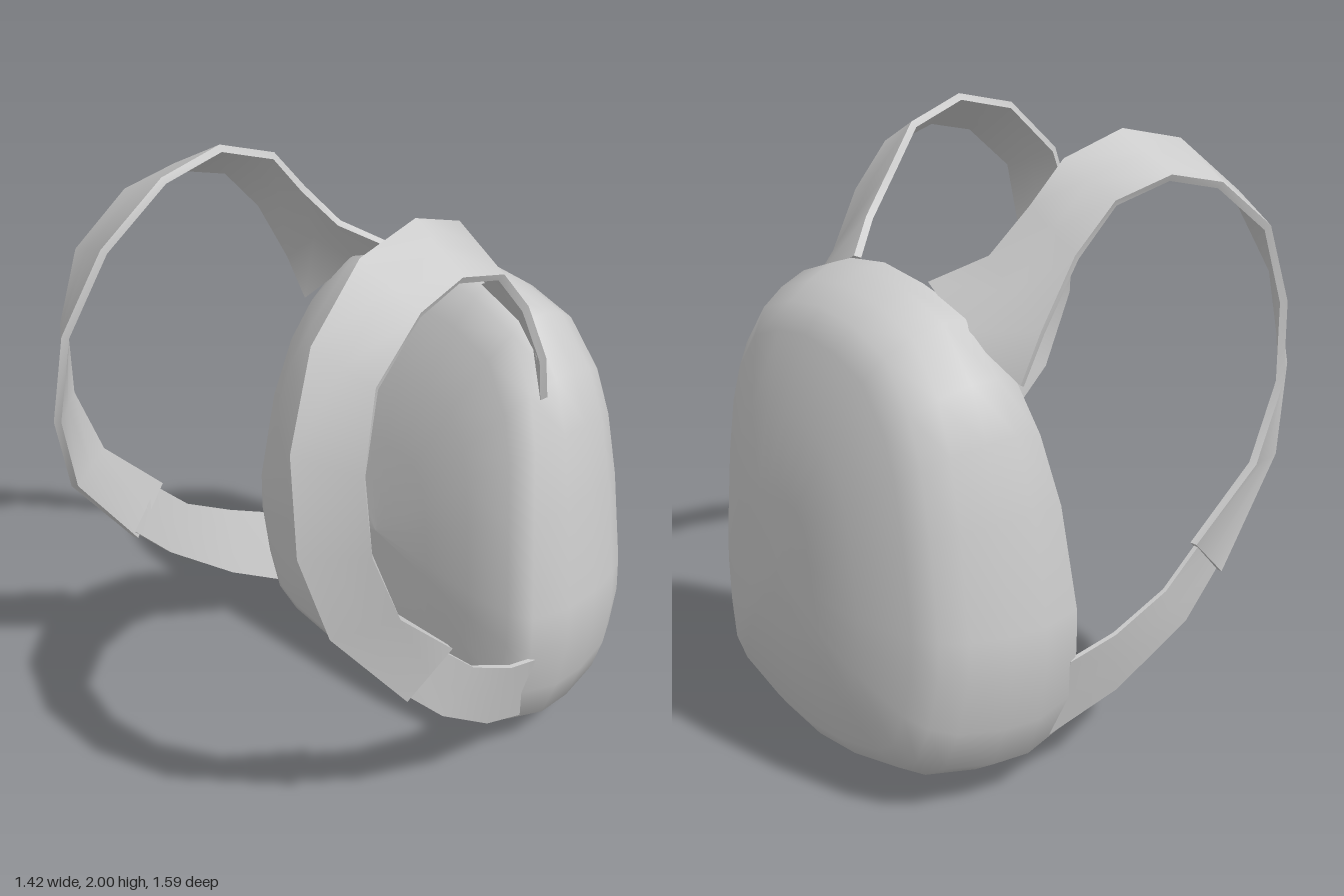
import * as THREE from 'three';
import { toCreasedNormals } from 'three/addons/utils/BufferGeometryUtils.js';

const material = new THREE.MeshStandardMaterial({ color: 0xcccccc });

function build(points, index) {
  const g = new THREE.BufferGeometry();
  g.setAttribute('position', new THREE.Float32BufferAttribute(points.flat(), 3));
  g.setIndex(index);
  g.computeVertexNormals();
  return g;
}

// Bag: one outline, repeated as scaled rings from the front panel to the domed back
function bagGeometry() {
  const half = [[0, 0], [0.23, 0.02], [0.5, 0.08], [0.595, 0.14], [0.65, 0.28], [0.685, 0.46], [0.685, 0.6],
    [0.64, 0.95], [0.59, 1.18], [0.525, 1.34], [0.39, 1.5], [0.2, 1.565], [0, 1.59]];
  const outline = [...half, ...half.slice(1, -1).reverse().map(([x, y]) => [-x, y])];
  const cy = 0.68;
  // [scale, z, how much the ring follows the sloping front]
  const rings = [[0, -0.065, 1], [0.35, -0.065, 1], [0.62, -0.066, 1], [0.85, -0.085, 1], [0.95, -0.13, 0.95],
    [1, -0.27, 0.5], [0.995, -0.4, 0.2], [0.95, -0.53, 0], [0.89, -0.61, 0], [0.8, -0.665, 0],
    [0.55, -0.74, 0], [0.28, -0.785, 0], [0, -0.795, 0]];
  const n = outline.length, points = [], index = [];
  for (const [s, z, slope] of rings) {
    for (const [ox, oy] of outline) {
      const x = ox * s, y = cy + (oy - cy) * s;
      const lean = 0.145 * Math.max(0, (y - 0.6) / 0.78) ** 1.7;
      const low = Math.max(0, (cy - y) / cy) ** 2;
      const belly = slope > 0 ? 0 : 0.06 * low;
      points.push([x, y, z - lean * slope - belly]);
    }
  }
  for (let r = 0; r < rings.length - 1; r++) {
    for (let i = 0; i < n; i++) {
      const a = r * n + i, b = r * n + (i + 1) % n, c = b + n, d = a + n;
      if (r > 0) index.push(a, d, b);
      if (r < rings.length - 2) index.push(b, d, c);
      if (r === 0) index.push(a, d, c);
      if (r === rings.length - 2) index.push(a, c, b);
    }
  }
  // Keep only the triangles with area at the two centre rings
  const tidy = [];
  for (let k = 0; k < index.length; k += 3) {
    const [p, q, t] = [0, 1, 2].map((j) => new THREE.Vector3(...points[index[k + j]]));
    if (q.sub(p).cross(t.sub(p)).length() > 1e-7) tidy.push(index[k], index[k + 1], index[k + 2]);
  }
  return build(points, tidy);
}

// Strap: a thin band through pairs of edge points [inner edge, outer edge, crown]
function bandGeometry(sections, side, thickness) {
  const secs = sections.map(([a, b, crown = 0]) => {
    const pair = [a, b].map(([x, y, z]) => new THREE.Vector3(x * side, y, z));
    if (side < 0) pair.reverse();
    return { a: pair[0], b: pair[1], mid: pair[0].clone().lerp(pair[1], 0.5), crown };
  });
  const points = [], index = [], n = 6;
  secs.forEach((s, i) => {
    const next = secs[Math.min(i + 1, secs.length - 1)], prev = secs[Math.max(i - 1, 0)];
    const normal = next.mid.clone().sub(prev.mid).cross(s.b.clone().sub(s.a)).normalize();
    const m = s.mid.clone().addScaledVector(normal, s.crown);
    const h = thickness / 2;
    for (const [p, o] of [[s.a, h], [m, h], [s.b, h], [s.b, -h], [m, -h], [s.a, -h]]) {
      points.push(p.clone().addScaledVector(normal, o).toArray());
    }
  });
  for (let r = 0; r < secs.length - 1; r++) {
    for (let i = 0; i < n; i++) {
      const a = r * n + i, b = r * n + (i + 1) % n;
      index.push(a, a + n, b, b, a + n, b + n);
    }
  }
  // End caps
  const e = (secs.length - 1) * n;
  for (const [p, q, t] of [[0, 1, 4], [0, 4, 5], [1, 2, 3], [1, 3, 4]]) {
    index.push(p, q, t, e + p, e + t, e + q);
  }
  return toCreasedNormals(build(points, index), 0.8);
}

// Padded shoulder strap, from the top of the bag over and down the front
const shoulder = [
  [[0.2, 1.565, -0.35], [0.54, 1.31, -0.26], 0.07],
  [[0.33, 1.65, -0.22], [0.57, 1.47, -0.21], 0.02],
  [[0.37, 1.79, -0.1], [0.585, 1.68, -0.1]],
  [[0.395, 1.92, 0], [0.6, 1.825, 0.03]],
  [[0.415, 1.99, 0.2], [0.62, 1.88, 0.22]],
  [[0.425, 1.94, 0.42], [0.64, 1.84, 0.4]],
  [[0.46, 1.76, 0.635], [0.66, 1.69, 0.585]],
  [[0.51, 1.5, 0.765], [0.68, 1.45, 0.65]],
  [[0.555, 1.2, 0.79], [0.695, 1.2, 0.635]],
  [[0.6, 0.92, 0.715], [0.7, 0.95, 0.53]],
  [[0.65, 0.59, 0.45], [0.69, 0.73, 0.3]],
];

// Narrower webbing from the end of the shoulder strap back to the bag
const webbing = [
  [[0.64, 0.62, 0.46], [0.685, 0.73, 0.33]],
  [[0.66, 0.46, 0.3], [0.685, 0.6, 0.19]],
  [[0.625, 0.28, 0.05], [0.675, 0.5, 0]],
  [[0.57, 0.165, -0.18], [0.645, 0.44, -0.15]],
];

export function createModel() {
  const model = new THREE.Group();
  model.name = 'backpack';
  const add = (name, geometry) => {
    const mesh = new THREE.Mesh(geometry, material);
    mesh.name = name;
    model.add(mesh);
  };
  add('bag', bagGeometry());
  for (const [side, label] of [[1, 'left'], [-1, 'right']]) {
    add(label + 'ShoulderStrap', bandGeometry(shoulder, side, 0.024));
    add(label + 'LowerStrap', bandGeometry(webbing, side, 0.014));
  }
  return model;
}
